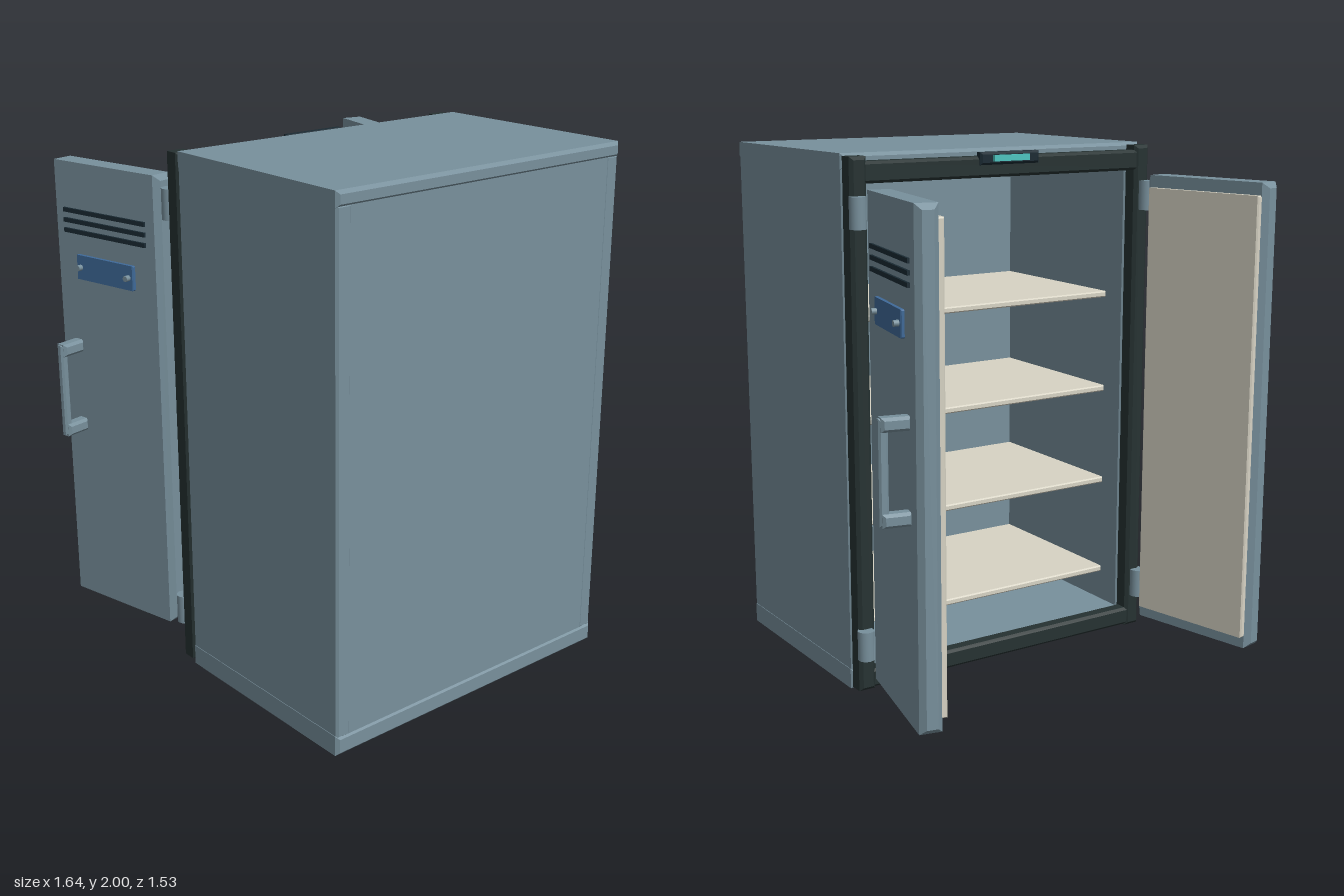
import * as THREE from 'three';

const mat = (color) => new THREE.MeshStandardMaterial({ color });
const steel = mat(0x78909c), dark = mat(0x263232), cream = mat(0xd7d3c4);
const slotBlack = mat(0x1a2a33), blue = mat(0x3f6a99), teal = mat(0x4dc4bf);

// Box with a flat chamfer on every edge, centred on its position
function chamferBox(w, h, d, b) {
  const x = w / 2 - b, y = h / 2 - b;
  const shape = new THREE.Shape([
    new THREE.Vector2(-x, -y), new THREE.Vector2(x, -y),
    new THREE.Vector2(x, y), new THREE.Vector2(-x, y),
  ]);
  const geo = new THREE.ExtrudeGeometry(shape, {
    depth: d - 2 * b, bevelEnabled: true, bevelSize: b, bevelThickness: b, bevelSegments: 1,
  });
  return geo.translate(0, 0, b - d / 2);
}

function add(parent, name, geo, material, x, y, z) {
  const mesh = new THREE.Mesh(geo, material);
  mesh.name = name;
  mesh.position.set(x, y, z);
  parent.add(mesh);
  return mesh;
}

const box = (w, h, d) => new THREE.BoxGeometry(w, h, d);

// Door leaf in its own frame: outer face towards s * x, free edge towards -z
function createDoor(s) {
  const door = new THREE.Group();
  door.name = s > 0 ? 'leftDoor' : 'rightDoor';
  add(door, 'doorPanel', chamferBox(0.08, 1.73, 0.535, 0.02), steel, 0, 1.025, 0);
  add(door, 'doorLining', chamferBox(0.03, 1.64, 0.49, 0.005), cream, -s * 0.044, 1.025, -0.003);

  // Vent slots
  for (const y of [1.635, 1.673, 1.711]) {
    add(door, 'ventSlot', box(0.02, 0.016, 0.41), slotBlack, s * 0.039, y, 0);
  }

  // Plate with two screws
  add(door, 'doorPlate', chamferBox(0.024, 0.092, 0.29, 0.004), blue, s * 0.041, 1.505, 0);
  for (const z of [-0.122, 0.122]) {
    const screw = add(door, 'plateScrew', new THREE.CylinderGeometry(0.011, 0.011, 0.03, 12),
      steel, s * 0.056, 1.505, z);
    screw.rotation.z = Math.PI / 2;
  }

  // Pull handle
  for (const y of [0.88, 1.195]) {
    add(door, 'handlePost', chamferBox(0.1, 0.048, 0.05, 0.01), steel, s * 0.085, y, -0.17);
  }
  add(door, 'handleBar', chamferBox(0.032, 0.355, 0.028, 0.007), steel, s * 0.126, 1.038, -0.17);

  door.position.set(s * 0.645, 0, -0.495);
  door.rotation.y = -s * 0.216;
  return door;
}

export function createModel() {
  const model = new THREE.Group();
  model.name = 'cabinet';

  // Carcass: top, base, side walls and back wall
  add(model, 'topPanel', chamferBox(1.28, 0.055, 0.845, 0.012), steel, 0, 1.9725, 0.342);
  add(model, 'basePanel', chamferBox(1.28, 0.075, 0.845, 0.012), steel, 0, 0.0975, 0.342);
  for (const s of [-1, 1]) {
    add(model, 'sideWall', chamferBox(0.06, 1.83, 0.835, 0.008), steel, s * 0.608, 1.04, 0.342);
  }
  add(model, 'backWall', box(1.2, 1.83, 0.05), steel, 0, 1.04, 0.733);

  // Dark frame around the opening
  for (const s of [-1, 1]) {
    add(model, 'framePost', chamferBox(0.065, 1.92, 0.072, 0.012), dark, s * 0.607, 1.032, -0.109);
  }
  add(model, 'frameTop', chamferBox(1.18, 0.075, 0.06, 0.01), dark, 0, 1.937, -0.112);
  add(model, 'frameBottom', chamferBox(1.18, 0.07, 0.06, 0.01), dark, 0, 0.112, -0.112);

  // Display on the frame
  add(model, 'displayHousing', chamferBox(0.25, 0.045, 0.035, 0.008), slotBlack, 0, 1.967, -0.137);
  add(model, 'displayScreen', box(0.15, 0.022, 0.014), teal, 0, 1.968, -0.158);

  // Shelves
  for (let i = 0; i < 4; i++) {
    add(model, 'shelf', chamferBox(1.16, 0.024, 0.69, 0.005), cream, 0, 0.265 + i * 0.38, 0.375);
  }

  // Feet
  for (const x of [-0.45, 0.45]) {
    for (const z of [0.07, 0.62]) {
      add(model, 'foot', chamferBox(0.1, 0.07, 0.1, 0.014), dark, x, 0.035, z);
    }
  }

  // Hinges and open doors
  for (const s of [-1, 1]) {
    for (const y of [0.255, 1.805]) {
      add(model, 'hinge', new THREE.CylinderGeometry(0.03, 0.03, 0.11, 16), steel, s * 0.62, y, -0.155);
    }
    model.add(createDoor(s));
  }
  return model;
}
